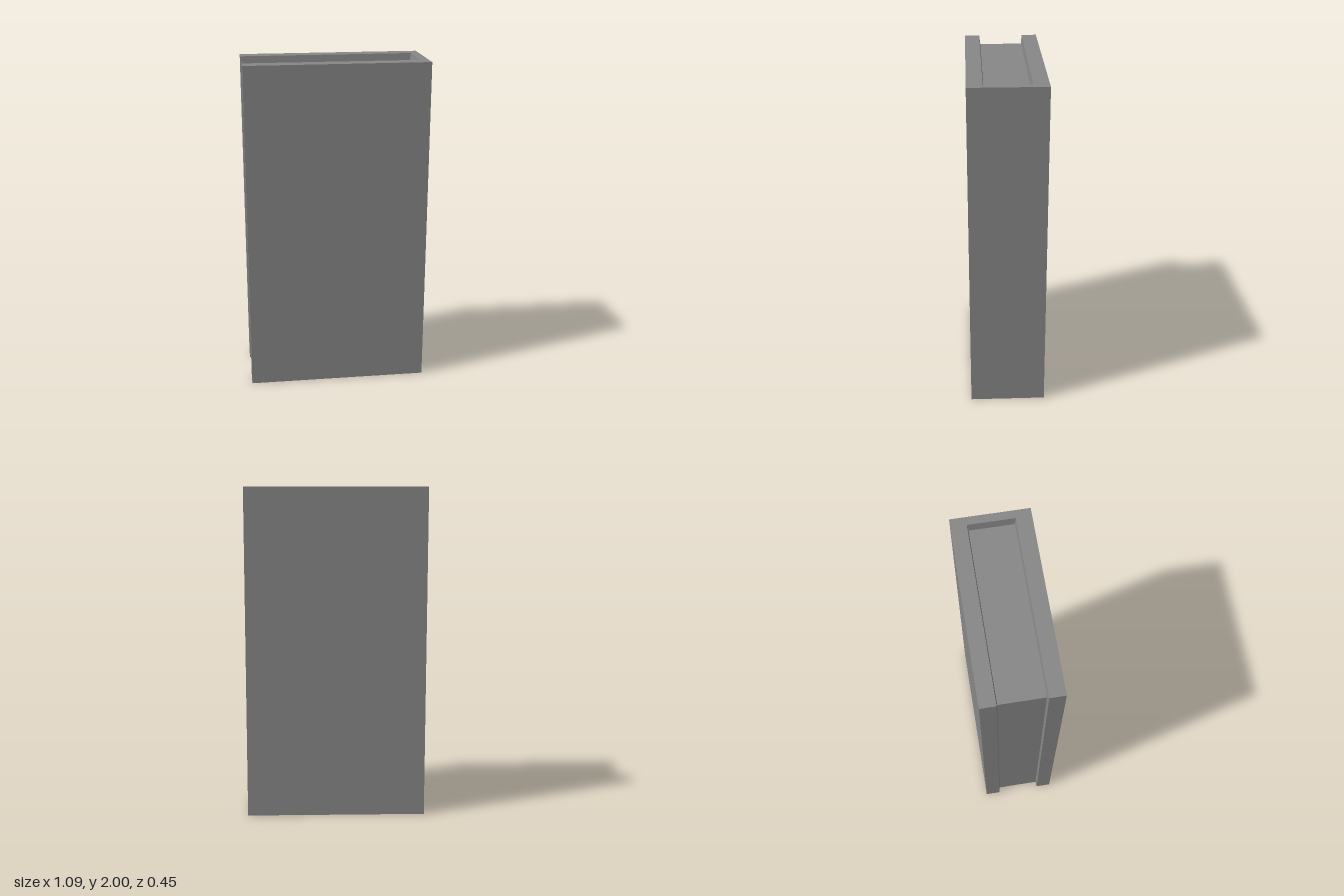
import * as THREE from 'three';
import { ConvexGeometry } from 'three/addons/geometries/ConvexGeometry.js';

const X = 0.544, Z = 0.224, H = 2;         // outer size of the cover
const RIM_Z = 0.134, RIM_X = 0.495;        // inner edge of the cover rim
const PAGE = { x0: -0.522, x1: 0.487, y0: 0.05, y1: H - 0.05, z: 0.128 };

// Four corners of a rectangle, placed by a function of two coordinates
const rect = (a0, a1, b0, b1, place) =>
  [[a0, b0], [a1, b0], [a1, b1], [a0, b1]].map(([a, b]) => new THREE.Vector3(...place(a, b)));

export function createModel() {
  const book = new THREE.Group();
  book.name = 'book';
  const material = new THREE.MeshStandardMaterial({ color: 0x878787, flatShading: true });
  const add = (name, geometry) => {
    const mesh = new THREE.Mesh(geometry, material);
    mesh.name = name;
    book.add(mesh);
    return mesh;
  };

  // Cover boards: their inner faces slope gently from the rim to the pages
  for (const [name, s] of [['frontCover', 1], ['backCover', -1]]) {
    add(name, new ConvexGeometry([
      ...rect(-X, X, 0, H, (x, y) => [x, y, s * Z]),
      ...rect(-X, X, 0, H, (x, y) => [x, y, s * RIM_Z]),
      ...rect(PAGE.x0, PAGE.x1, PAGE.y0, PAGE.y1, (x, y) => [x, y, s * PAGE.z]),
    ]));
  }

  // Spine between the boards, sloped the same way
  add('spine', new ConvexGeometry([
    ...rect(-RIM_Z, RIM_Z, 0, H, (z, y) => [X, y, z]),
    ...rect(-RIM_Z, RIM_Z, 0, H, (z, y) => [RIM_X, y, z]),
    ...rect(-PAGE.z, PAGE.z, PAGE.y0, PAGE.y1, (z, y) => [PAGE.x1, y, z]),
  ]));

  // Page block, set back at the top, bottom and fore edge
  const pages = add('pages', new THREE.BoxGeometry(PAGE.x1 - PAGE.x0, PAGE.y1 - PAGE.y0, 2 * PAGE.z));
  pages.position.set((PAGE.x0 + PAGE.x1) / 2, H / 2, 0);

  return book;
}
